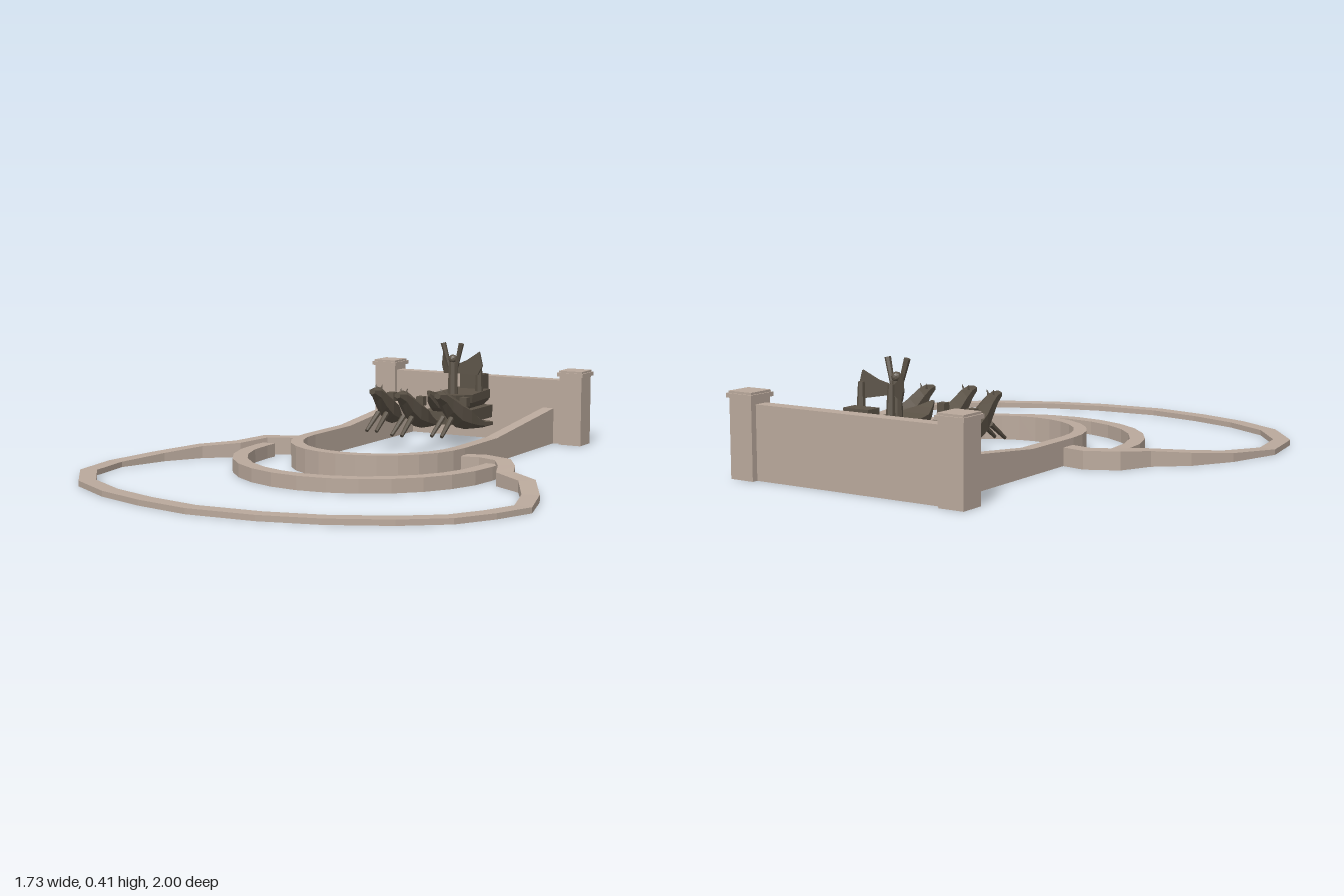
import * as THREE from 'three';

const stone = new THREE.MeshStandardMaterial({ color: 0xbaa99c, flatShading: true });
stone.name = 'stone';
const bronze = new THREE.MeshStandardMaterial({ color: 0x5c5347, flatShading: true, side: THREE.DoubleSide });
bronze.name = 'bronze';

const V = (x, y, z) => new THREE.Vector3(x, y, z);

// Skin a list of equal-sized rings, each wound counter-clockwise about the travel direction
function loft(rings, materialIndex) {
  const buckets = [[], []];
  const tri = (k, ...ps) => ps.forEach(p => buckets[k].push(p.x, p.y, p.z));
  const n = rings[0].length;
  for (let i = 0; i < rings.length - 1; i++) {
    for (let j = 0; j < n; j++) {
      const k = materialIndex ? materialIndex(i, j, rings[i]) : 0;
      const a = rings[i][j], b = rings[i][(j + 1) % n];
      const c = rings[i + 1][(j + 1) % n], d = rings[i + 1][j];
      tri(k, a, b, c);
      tri(k, a, c, d);
    }
  }
  const s = rings[0], e = rings[rings.length - 1];
  for (let j = 1; j < n - 1; j++) {
    tri(0, s[0], s[j + 1], s[j]);
    tri(0, e[0], e[j], e[j + 1]);
  }
  const g = new THREE.BufferGeometry();
  g.setAttribute('position', new THREE.Float32BufferAttribute([...buckets[0], ...buckets[1]], 3));
  g.addGroup(0, buckets[0].length / 3, 0);
  g.addGroup(buckets[0].length / 3, buckets[1].length / 3, 1);
  g.computeVertexNormals();
  return g;
}

// Kerb along an outer edge line [x, z], with mitred corners
function kerb(pts, width, height, materialIndex) {
  const right = (a, b) => V(a[1] - b[1], 0, b[0] - a[0]).normalize();
  const rings = pts.map((p, i) => {
    const n0 = right(pts[Math.max(i - 1, 0)], pts[Math.max(i, 1)]);
    const n1 = right(pts[Math.min(i, pts.length - 2)], pts[Math.min(i + 1, pts.length - 1)]);
    const m = n0.clone().add(n1).normalize();
    m.multiplyScalar(width / Math.max(m.dot(n0), 0.5));
    const h = height(p[1]), x = p[0] - m.x, z = p[1] - m.z;
    return [V(x, h, z), V(p[0], h, p[1]), V(p[0], 0, p[1]), V(x, 0, z)];
  });
  return loft(rings, materialIndex);
}

// U-shaped outer edge: two straight arms joined by a half circle
function uPath(r, cz, armZ) {
  const arc = [];
  for (let i = 0; i <= 14; i++) {
    const a = Math.PI * (1 - i / 14);
    arc.push([r * Math.cos(a), cz + r * Math.sin(a)]);
  }
  return [...armZ.map(z => [-r, z]), ...arc, ...armZ.slice().reverse().map(z => [r, z])];
}

function add(parent, name, geo, mat, x = 0, y = 0, z = 0) {
  const m = new THREE.Mesh(geo, mat);
  m.name = name;
  m.position.set(x, y, z);
  parent.add(m);
  return m;
}

const box = (w, h, d) => new THREE.BoxGeometry(w, h, d);

// Tapered rod between two points
function rod(parent, name, a, b, r0, r1, sides = 6) {
  const m = add(parent, name, new THREE.CylinderGeometry(r1, r0, a.distanceTo(b), sides), bronze);
  m.position.copy(a).add(b).multiplyScalar(0.5);
  m.quaternion.setFromUnitVectors(V(0, 1, 0), b.clone().sub(a).normalize());
}

// Sea horse: raised neck, two forelegs, fish tail bending sideways
function seaHorse(x, noseZ, bend) {
  const g = new THREE.Group();
  g.name = 'seaHorse';
  // distance from nose, top, bottom, half width
  const profile = [
    [-0.345, 0.115, 0.1, 0.004], [-0.29, 0.125, 0.095, 0.016], [-0.24, 0.155, 0.097, 0.025],
    [-0.19, 0.195, 0.1, 0.034], [-0.13, 0.225, 0.115, 0.034], [-0.08, 0.252, 0.155, 0.026],
    [-0.04, 0.262, 0.205, 0.021], [0, 0.258, 0.235, 0.013],
  ];
  const curve = d => bend * 0.52 * d * d;
  add(g, 'horseBody', loft(profile.map(([d, top, bot, w]) =>
    Array.from({ length: 6 }, (_, i) => {
      const a = (i / 6) * Math.PI * 2 + Math.PI / 6;
      return V(curve(d) + w * 1.1 * Math.cos(a), (top + bot) / 2 + (top - bot) / 2 * Math.sin(a), d);
    }))), bronze);
  add(g, 'backFin', box(0.03, 0.035, 0.03), bronze, curve(-0.19), 0.205, -0.19);
  for (const s of [-1, 1]) {
    rod(g, 'foreleg', V(s * 0.018, 0.155, -0.08), V(s * 0.021, 0.095, 0.005), 0.011, 0.007);
    rod(g, 'ear', V(s * 0.01, 0.25, -0.05), V(s * 0.014, 0.268, -0.055), 0.006, 0.001, 4);
  }
  g.position.set(x, 0, noseZ);
  return g;
}

export function createModel() {
  const model = new THREE.Group();
  model.name = 'fountain';

  // Outer pool kerb, irregular and rising towards the back
  const rim = [
    [-0.33, -0.2], [-0.43, -0.22], [-0.545, -0.165], [-0.6, -0.05], [-0.71, 0.04], [-0.8, 0.185],
    [-0.865, 0.39], [-0.83, 0.6], [-0.69, 0.78], [-0.5, 0.89], [-0.3, 0.955], [-0.085, 0.995],
    [0.17, 0.975], [0.38, 0.92], [0.585, 0.82], [0.73, 0.71], [0.81, 0.575], [0.865, 0.43],
    [0.81, 0.25], [0.72, 0.085], [0.605, 0.015], [0.575, -0.06], [0.52, -0.14], [0.41, -0.175], [0.33, -0.155],
  ];
  const rimHeight = z => 0.02 + 0.045 * THREE.MathUtils.clamp((0.3 - z) / 0.45, 0, 1);
  add(model, 'outerKerb', kerb(rim, 0.06, rimHeight,
    (i, j, ring) => (j === 2 && ring[0].z > 0.1 ? 1 : 0)), [stone, bronze]);

  // Middle and inner basins
  add(model, 'middleKerb', kerb(uPath(0.5, -0.035, [-0.09]), 0.054, () => 0.05), stone);
  add(model, 'innerBasin', kerb(uPath(0.341, -0.135, [-0.92, -0.4]), 0.046,
    z => 0.09 + 0.05 * Math.max(0, (-0.4 - z) / 0.5)), stone);

  // Back wall with capped pillars
  add(model, 'backWall', box(0.76, 0.255, 0.053), stone, 0, 0.1275, -0.943);
  for (const s of [-1, 1]) {
    add(model, 'pillar', box(0.094, 0.275, 0.094), stone, s * 0.42, 0.1375, -0.945);
    add(model, 'pillarCap', box(0.11, 0.015, 0.11), stone, s * 0.42, 0.281, -0.945);
    add(model, 'capTop', box(0.098, 0.008, 0.098), stone, s * 0.42, 0.292, -0.945);
  }

  // Sculpture: plinth and shell-shaped boat
  const sculpture = new THREE.Group();
  sculpture.name = 'sculpture';
  sculpture.position.x = 0.003;
  model.add(sculpture);
  add(sculpture, 'plinth', box(0.17, 0.05, 0.285), bronze, 0, 0.118, -0.738);
  const hull = [
    [-0.88, 0.075, 0.207, 0.14], [-0.7, 0.084, 0.203, 0.138], [-0.6, 0.062, 0.21, 0.142],
    [-0.54, 0.032, 0.222, 0.165], [-0.49, 0.006, 0.238, 0.215],
  ];
  add(sculpture, 'boat', loft(hull.map(([z, w, top, bot]) =>
    [V(w, top, z), V(-w, top, z), V(-w, (top + bot) / 2, z), V(-w * 0.6, bot, z),
      V(w * 0.6, bot, z), V(w, (top + bot) / 2, z)])), bronze);
  add(sculpture, 'sternBlock', box(0.1, 0.11, 0.06), bronze, 0, 0.21, -0.885);

  // Standing figure with raised arms and swept wings
  rod(sculpture, 'figureBody', V(0, 0.19, -0.695), V(0, 0.33, -0.695), 0.022, 0.017, 8);
  add(sculpture, 'figureHead', new THREE.IcosahedronGeometry(0.018, 1), bronze, 0, 0.342, -0.695);
  const wing = new THREE.Shape([[0, 0.285], [0.075, 0.275], [0.09, 0.31], [0.08, 0.368], [0.04, 0.335], [0, 0.315]]
    .map(p => new THREE.Vector2(...p)));
  for (const s of [-1, 1]) {
    rod(sculpture, 'raisedArm', V(s * 0.015, 0.31, -0.695), V(s * 0.04, 0.405, -0.688), 0.008, 0.011);
    const w = new THREE.ExtrudeGeometry(wing, { depth: 0.009, bevelEnabled: false });
    w.translate(0, 0, -0.0045);
    const p = w.attributes.position;
    for (let i = 0; i < p.count; i++) p.setZ(i, p.getZ(i) - 0.71 - 0.75 * p.getX(i));
    // Turn the plate to the other side for the right wing
    if (s < 0) for (let i = 0; i < p.count; i++) p.setX(i, -p.getX(i));
    if (s < 0) for (let i = 0; i < p.count; i += 3) {
      const a = V().fromBufferAttribute(p, i), b = V().fromBufferAttribute(p, i + 1);
      p.setXYZ(i, b.x, b.y, b.z);
      p.setXYZ(i + 1, a.x, a.y, a.z);
    }
    w.computeVertexNormals();
    add(sculpture, 'wing', w, bronze);
    rod(sculpture, 'sternPost', V(s * 0.06, 0.19, -0.81), V(s * 0.06, 0.335, -0.805), 0.017, 0.011);
  }

  // Team of three sea horses
  sculpture.add(seaHorse(0, -0.24, 0), seaHorse(-0.14, -0.295, -1), seaHorse(0.14, -0.295, 1));
  return model;
}
